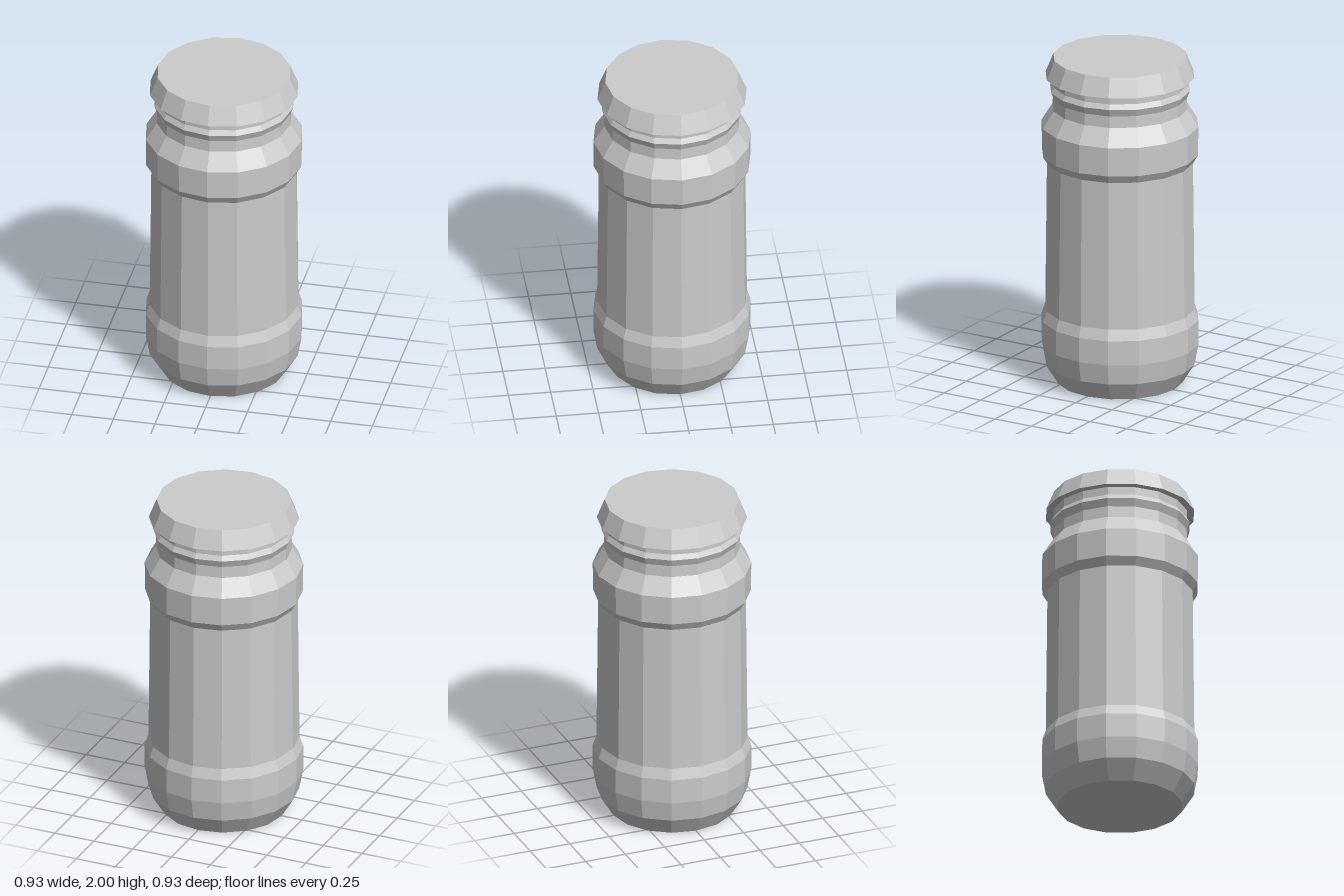
import * as THREE from 'three';

const SIDES = 16;
const material = new THREE.MeshStandardMaterial({ color: 0xcccccc, flatShading: true });

// Faceted solid of revolution from [radius, height] pairs, bottom to top
function turned(name, profile) {
  const points = profile.map(([r, y]) => new THREE.Vector2(r, y));
  const mesh = new THREE.Mesh(new THREE.LatheGeometry(points, SIDES), material);
  mesh.name = name;
  return mesh;
}

export function createModel() {
  const group = new THREE.Group();
  group.name = 'jar';

  // Jar: closed base, lower bulge, tapering wall, shoulder band, ridged neck
  group.add(turned('jarBody', [
    [0, 0], [0.37, 0], [0.442, 0.115], [0.465, 0.24], [0.465, 0.39],
    [0.443, 0.455], [0.433, 1.36], [0.463, 1.41], [0.465, 1.585],
    [0.4, 1.69], [0.397, 1.76], [0.415, 1.805], [0.398, 1.835],
    [0.398, 1.9], [0, 1.9],
  ]));

  // Lid: overhanging rim tapering to a flat top
  group.add(turned('lid', [
    [0.39, 1.885], [0.441, 1.885], [0.437, 1.895], [0.395, 2], [0, 2],
  ]));

  return group;
}
